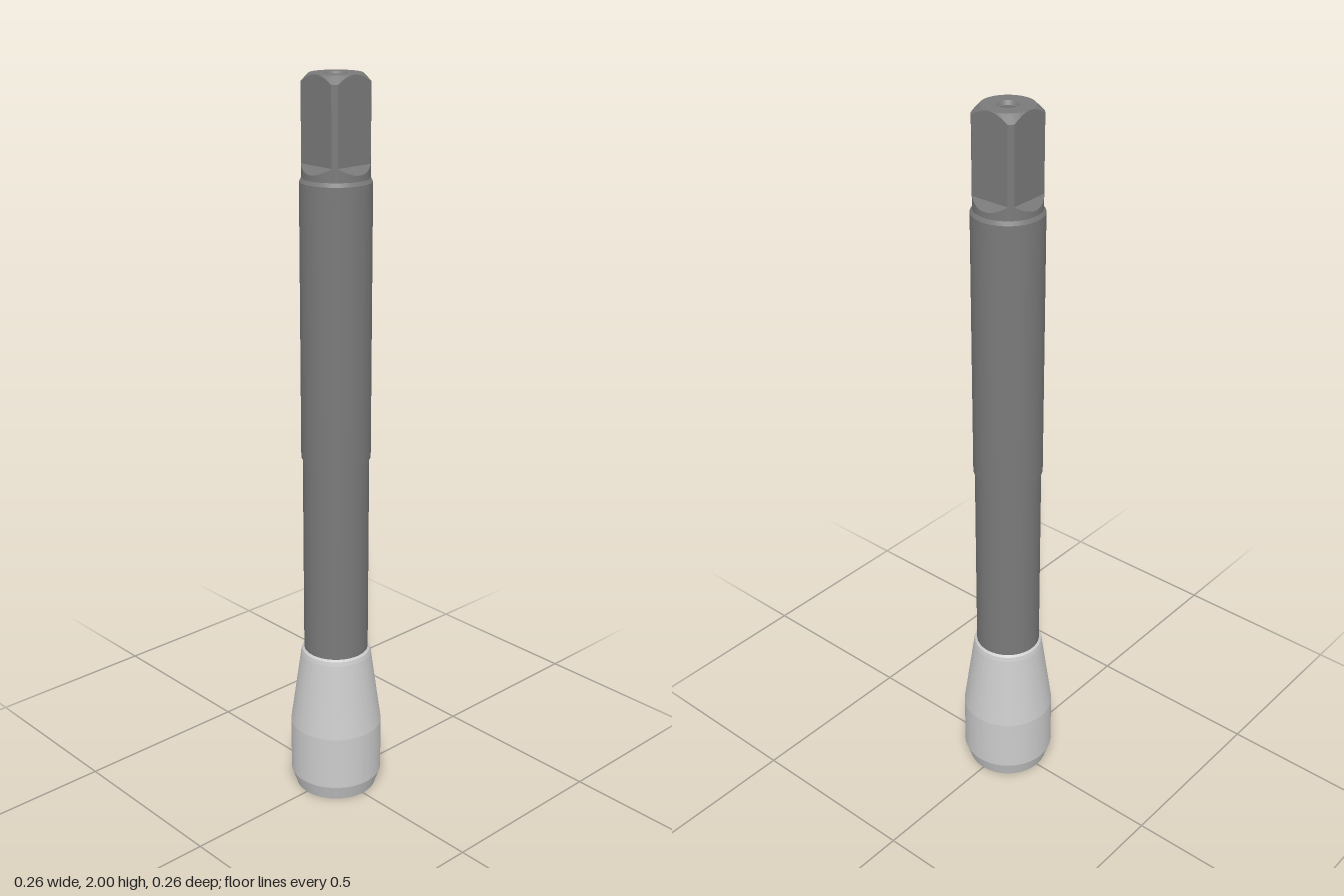
import * as THREE from 'three';
import { toCreasedNormals } from 'three/addons/utils/BufferGeometryUtils.js';

const CREASE = 0.1;
const BORE = 0.021, BORE_MOUTH = 0.028;   // through hole and its countersink
const FLAT = 0.067, ROUND = 0.087;        // square drive: half width, corner radius
const DRIVE_BASE = 1.745, FLAT_BASE = 1.78, TOP = 2;

const dark = new THREE.MeshStandardMaterial({ color: 0x7a7a7a });
const light = new THREE.MeshStandardMaterial({ color: 0xcccccc });

function part(name, geometry, material) {
  const mesh = new THREE.Mesh(toCreasedNormals(geometry, CREASE), material);
  mesh.name = name;
  return mesh;
}

function lathe(points) {
  return new THREE.LatheGeometry(points.map(([r, y]) => new THREE.Vector2(r, y)), 96);
}

// Round stock with four milled flats that run out in sloping ramps,
// a conical chamfer on the top corners and a flat end around the bore
function driveGeometry() {
  const half = Math.acos(FLAT / ROUND);
  const angles = [];
  for (let q = 0; q < 4; q++) {
    const mid = q * Math.PI / 2;
    for (let i = 0; i < 24; i++) angles.push(mid - half + 2 * half * i / 24);
    for (let i = 0; i < 4; i++) angles.push(mid + half + (Math.PI / 2 - 2 * half) * i / 4);
  }
  const positions = [], index = [], rows = 6;
  for (const a of angles) {
    const c = Math.cos(a), s = Math.sin(a);
    const m = Math.max(Math.abs(c), Math.abs(s));
    const r = Math.min(ROUND, FLAT / m);
    const profile = [
      [ROUND, DRIVE_BASE],
      [ROUND, FLAT_BASE - Math.max(0, ROUND * m - FLAT)],
      [r, FLAT_BASE],
      [r, TOP - (r - FLAT)],
      [FLAT, TOP],
      [BORE_MOUTH, TOP],
    ];
    for (const [pr, y] of profile) positions.push(pr * c, y, pr * s);
  }
  for (let i = 0; i < angles.length; i++) {
    const n = (i + 1) % angles.length;
    for (let j = 0; j < rows - 1; j++) {
      const a = i * rows + j, b = n * rows + j;
      index.push(a, a + 1, b, b, a + 1, b + 1);
    }
  }
  const geometry = new THREE.BufferGeometry();
  geometry.setAttribute('position', new THREE.Float32BufferAttribute(positions, 3));
  geometry.setIndex(index);
  geometry.computeVertexNormals();
  return geometry;
}

export function createModel() {
  const model = new THREE.Group();
  model.name = 'squareDriveTool';

  // Tapered working head with chamfered foot
  model.add(part('head', lathe([
    [BORE, 0], [0.113, 0], [0.128, 0.045], [0.128, 0.2],
    [0.098, 0.415], [0.095, 0.427], [0.089, 0.432],
  ]), light));

  // Shank, slightly thicker in its upper half
  model.add(part('shank', lathe([
    [0.089, 0.43], [0.089, 1], [0.093, 1], [0.093, 1.735], [ROUND, DRIVE_BASE],
  ]), dark));

  model.add(part('squareDrive', driveGeometry(), dark));

  // Through hole, wound to face inward
  model.add(part('bore', lathe([[BORE_MOUTH, TOP], [BORE, TOP - 0.01], [BORE, 0]]), dark));

  return model;
}
